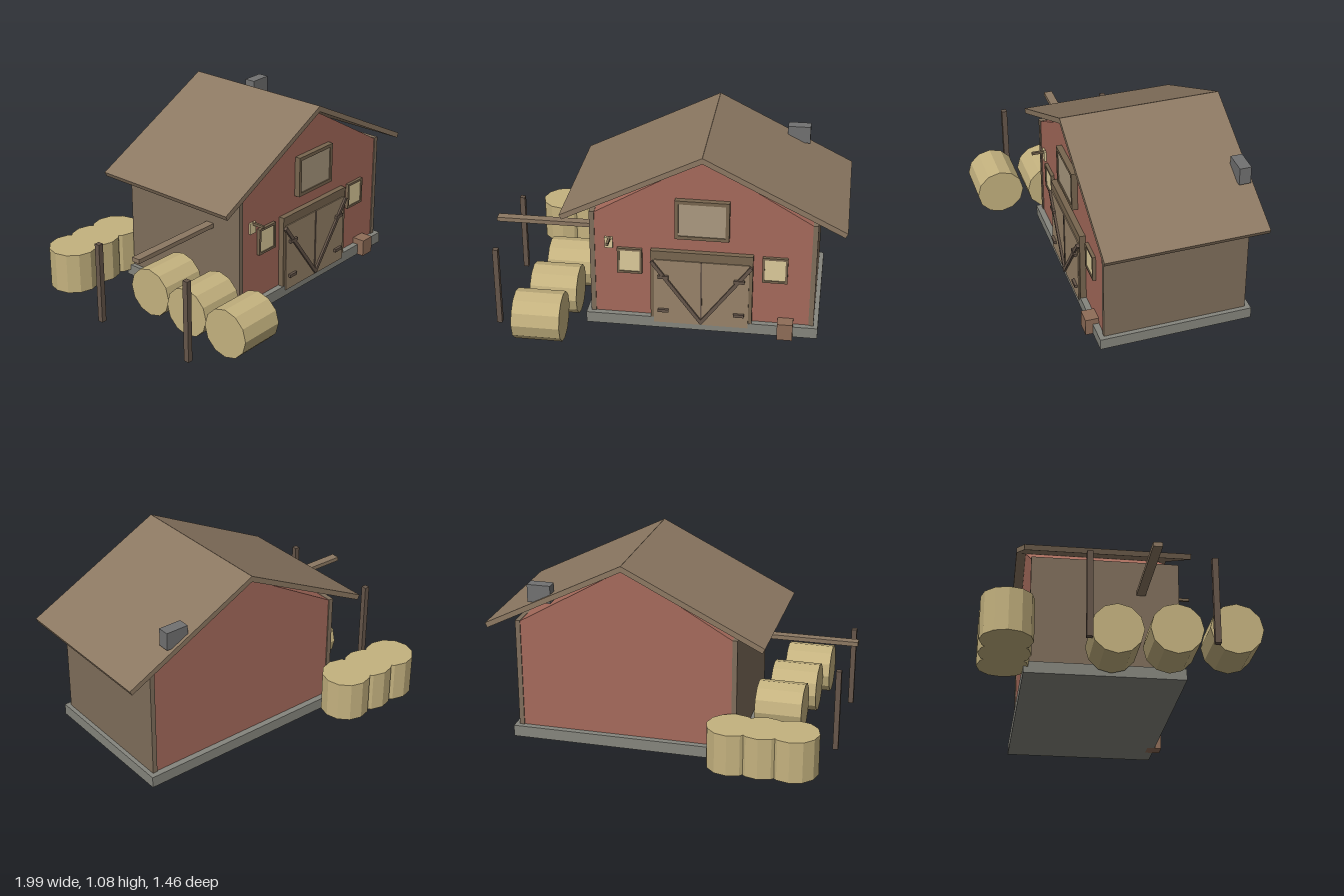
import * as THREE from 'three';

const mat = (color) => new THREE.MeshStandardMaterial({ color, flatShading: true });
const M = {
  red: mat(0xa56a5b), wall: mat(0x7f6e5b), roof: mat(0x8c7862), trim: mat(0x78664f),
  door: mat(0x988369), dark: mat(0x66564a), stone: mat(0x85857d), chimney: mat(0x717171),
  hay: mat(0xc4b27f), glass: mat(0xdccb9b), loft: mat(0xac9a80), crate: mat(0x8f6d58),
};

const CX = 0.205; // centre line of the barn
const FRONT = 0.355, BACK = -0.447; // faces of the red walls

export function createModel() {
  const root = new THREE.Group();

  const add = (name, geometry, material, parent = root) => {
    const mesh = new THREE.Mesh(geometry, material);
    mesh.name = name;
    parent.add(mesh);
    return mesh;
  };
  // Box given by its limits on each axis
  const box = (name, material, [x0, x1], [y0, y1], [z0, z1], parent = root) => {
    const mesh = add(name, new THREE.BoxGeometry(x1 - x0, y1 - y0, z1 - z0), material, parent);
    mesh.position.set((x0 + x1) / 2, (y0 + y1) / 2, (z0 + z1) / 2);
    return mesh;
  };
  // Flat bar between two points in the front plane
  const bar = (name, material, a, b, width, [z0, z1], parent = root) => {
    const dx = b[0] - a[0], dy = b[1] - a[1];
    const mesh = add(name, new THREE.BoxGeometry(Math.hypot(dx, dy), width, z1 - z0), material, parent);
    mesh.position.set((a[0] + b[0]) / 2, (a[1] + b[1]) / 2, (z0 + z1) / 2);
    mesh.rotation.z = Math.atan2(dy, dx);
    return mesh;
  };

  // Foundation and walls
  box('foundation', M.stone, [-0.45, 0.86], [0, 0.065], [-0.483, 0.389]);
  box('barnBody', M.red, [-0.41, 0.82], [0.06, 0.695], [BACK, FRONT]);
  for (const s of [-1, 1]) {
    const inner = CX + s * 0.602, outer = CX + s * 0.63;
    box('sideWall', M.wall, [Math.min(inner, outer), Math.max(inner, outer)], [0.065, 0.697], [-0.453, 0.361]);
  }

  // Gable
  const tri = new THREE.Shape([[-0.6, 0.695], [0.6, 0.695], [0, 1.043]].map(([x, y]) => new THREE.Vector2(CX + x, y)));
  const gable = new THREE.ExtrudeGeometry(tri, { depth: FRONT - BACK, bevelEnabled: false });
  gable.translate(0, 0, BACK);
  add('gable', gable, M.red);

  // Roof slabs, crossing slightly at the ridge
  for (const s of [-1, 1]) {
    bar('roofSlab', M.roof, [CX + s * 0.782, 0.672], [CX - s * 0.006, 1.066], 0.03, [-0.502, 0.404]);
  }
  box('chimney', M.chimney, [0.612, 0.744], [0.825, 0.926], [-0.484, -0.418]);

  // Framed opening: four trim pieces round a pane
  const framed = (name, pane, [x0, x1], [y0, y1], w, depth) => {
    const g = new THREE.Group();
    g.name = name;
    root.add(g);
    const z = [FRONT - 0.01, depth];
    box('frameLeft', M.trim, [x1 - w, x1], [y0, y1], z, g);
    box('frameRight', M.trim, [x0, x0 + w], [y0, y1], z, g);
    box('frameTop', M.trim, [x0 + w, x1 - w], [y1 - w, y1], z, g);
    box('frameBottom', M.trim, [x0 + w, x1 - w], [y0, y0 + w], z, g);
    box('pane', pane, [x0 + w, x1 - w], [y0 + w, y1 - w], [FRONT - 0.01, depth - 0.006], g);
  };
  framed('windowRight', M.glass, [-0.27, -0.13], [0.33, 0.485], 0.013, 0.374);
  framed('windowLeft', M.glass, [0.54, 0.68], [0.33, 0.485], 0.013, 0.374);
  framed('loftHatch', M.loft, [0.055, 0.355], [0.575, 0.81], 0.02, 0.388);

  // Barn doors with frame, braces and hinges
  const doors = new THREE.Group();
  doors.name = 'barnDoors';
  root.add(doors);
  box('header', M.trim, [CX - 0.285, CX + 0.285], [0.44, 0.492], [0.345, 0.388], doors);
  for (const s of [-1, 1]) {
    const span = (a, b) => [CX + s * a, CX + s * b].sort((p, q) => p - q);
    box('doorPost', M.trim, span(0.262, 0.285), [0.065, 0.44], [0.345, 0.388], doors);
    box('doorLeaf', M.door, span(0.004, 0.265), [0.037, 0.44], [0.35, 0.394], doors);
    bar('brace', M.dark, [CX + s * 0.278, 0.43], [CX - s * 0.004, 0.052], 0.02, [0.388, 0.406], doors);
    for (const y of [0.12, 0.337]) {
      box('hinge', M.dark, span(0.182, 0.242), [y - 0.009, y + 0.009], [0.39, 0.409], doors);
    }
  }
  box('doorMeetingStrip', M.dark, [CX - 0.005, CX + 0.005], [0.05, 0.44], [0.36, 0.398], doors);

  // Wall lamp
  box('lampPlate', M.glass, [-0.34, -0.295], [0.48, 0.545], [0.35, 0.368]);
  box('lampArm', M.trim, [-0.32, -0.306], [0.531, 0.546], [0.35, 0.438]);

  box('crate', M.crate, [0.635, 0.722], [0, 0.1], [0.345, 0.43]);

  // Side shelter frame
  box('shelterBeam', M.roof, [-1, -0.41], [0.495, 0.52], [0.125, 0.175]);
  for (const z of [-0.19, 0.453]) {
    box('shelterPost', M.dark, [-0.955, -0.925], [0, 0.472], [z - 0.016, z + 0.016]);
  }

  // Hay bales: three lying in a row beside the barn, three upright behind
  for (let i = 0; i < 3; i++) {
    const lying = add('lyingBale', new THREE.CylinderGeometry(0.14, 0.14, 0.268, 12), M.hay);
    lying.rotation.z = Math.PI / 2;
    lying.position.set(-0.6 - i * 0.034, 0.152, -0.02 + i * 0.304);

    const upright = add('uprightBale', new THREE.CylinderGeometry(0.139, 0.139, 0.235, 12), M.hay);
    upright.position.set(-0.767 + i * 0.169, 0.152, -0.59);
  }

  return root;
}
